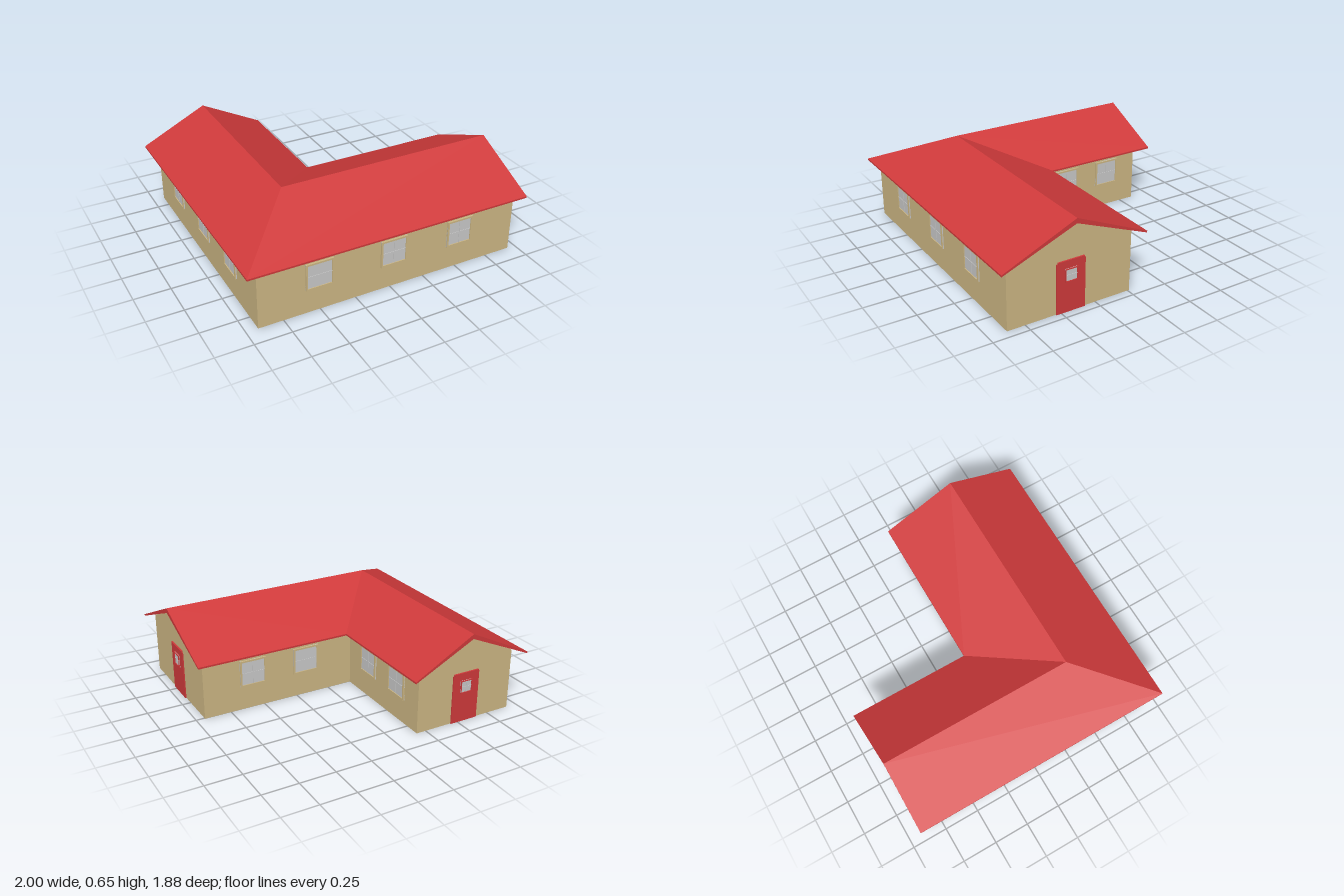
import * as THREE from 'three';

const mat = (name, color) => {
  const m = new THREE.MeshStandardMaterial({ color });
  m.name = name;
  return m;
};

export function createModel() {
  const house = new THREE.Group();
  house.name = 'house';
  const wallMat = mat('sand wall', 0xcdb784);
  const redMat = mat('red', 0xd03a3b);
  const glassMat = mat('pale grey glass', 0xcacaca);

  const add = (parent, name, geo, material, x = 0, y = 0, z = 0) => {
    const m = new THREE.Mesh(geo, material);
    m.name = name;
    m.position.set(x, y, z);
    parent.add(m);
    return m;
  };
  const box = (parent, name, w, h, d, material, x, y, z) =>
    add(parent, name, new THREE.BoxGeometry(w, h, d), material, x, y, z);
  const shape = (pts) => new THREE.Shape(pts.map(([x, y]) => new THREE.Vector2(x, y)));

  // L-shaped walls, drawn in plan (x, -z) and raised
  const plan = shape([[-0.92, -0.875], [0.94, -0.875], [0.94, 0.01], [-0.18, 0.01], [-0.18, 0.86], [-0.92, 0.86]]);
  const walls = new THREE.ExtrudeGeometry(plan, { depth: 0.43, bevelEnabled: false });
  walls.rotateX(-Math.PI / 2);
  add(house, 'walls', walls, wallMat);

  // Gable triangles over the two end walls
  const gable = (pts) => new THREE.ExtrudeGeometry(shape(pts), { depth: 0.02, bevelEnabled: false });
  const sideGable = gable([[-0.875, 0.43], [0.01, 0.43], [0.01, 0.438], [-0.43, 0.613]]);
  sideGable.rotateY(Math.PI / 2);
  add(house, 'sideGable', sideGable, wallMat, 0.92, 0, 0);
  add(house, 'backGable', gable([[-0.92, 0.43], [-0.18, 0.43], [-0.18, 0.438], [-0.54, 0.613]]), wallMat, 0, 0, -0.86);

  // Roof slab: eaves corners, ridge ends and the point where the ridges meet
  const corners = [
    [-1, 0.935], [1, 0.935], [1, 0.43, 1], [0.995, -0.09], [-0.1, -0.09],
    [-0.1, -0.94], [-0.54, -0.925, 1], [-1, -0.925], [-0.54, 0.43, 1],
  ];
  const top = corners.map(([x, z, ridge]) => [x, ridge ? 0.65 : 0.424, z]);
  const under = corners.map(([x, z, ridge]) => [x, ridge ? 0.616 : 0.412, z]);
  const verts = [];
  const quad = (a, b, c, d) => verts.push(...a, ...b, ...c, ...a, ...c, ...d);
  for (const [a, b, c, d] of [[0, 1, 2, 8], [2, 3, 4, 8], [8, 4, 5, 6], [0, 8, 6, 7]]) {
    quad(top[a], top[b], top[c], top[d]);
    quad(under[d], under[c], under[b], under[a]);
  }
  for (let i = 0; i < 8; i++) {
    const j = (i + 1) % 8;
    quad(under[i], under[j], top[j], top[i]);
  }
  const roof = new THREE.BufferGeometry();
  roof.setAttribute('position', new THREE.Float32BufferAttribute(verts, 3));
  roof.computeVertexNormals();
  add(house, 'roof', roof, redMat);

  // Framed pane with a cross bar, facing +z
  const glazing = (parent, w, h, t, frameMat, y, z) => {
    box(parent, 'glass', w, h, 0.006, glassMat, 0, y, z + 0.003);
    for (const s of [-1, 1]) {
      box(parent, 'frameSide', t, h, 0.012, frameMat, s * (w - t) / 2, y, z + 0.006);
      box(parent, 'frameRail', w - 2 * t, t, 0.012, frameMat, 0, y + s * (h - t) / 2, z + 0.006);
    }
    box(parent, 'uprightBar', t / 2, h - 2 * t, 0.009, glassMat, 0, y, z + 0.0045);
    box(parent, 'crossBar', w - 2 * t, t / 2, 0.009, glassMat, 0, y, z + 0.0045);
  };
  const place = (name, x, z, turn) => {
    const g = new THREE.Group();
    g.name = name;
    g.position.set(x, 0, z);
    g.rotation.y = turn;
    house.add(g);
    return g;
  };
  const addWindow = (x, z, turn) =>
    glazing(place('window', x, z, turn), 0.19, 0.19, 0.012, wallMat, 0.265, 0);
  const addDoor = (x, z, turn) => {
    const g = place('door', x, z, turn);
    box(g, 'doorPanel', 0.205, 0.345, 0.008, redMat, 0, 0.1725, 0.004);
    box(g, 'doorLintel', 0.19, 0.012, 0.011, redMat, 0, 0.351, 0.0055);
    glazing(g, 0.09, 0.09, 0.006, redMat, 0.257, 0.005);
  };

  // Windows on each long wall
  const q = Math.PI / 2;
  for (const x of [-0.505, 0.02, 0.515]) addWindow(x, 0.875, 0);
  for (const z of [-0.455, 0.02, 0.475]) addWindow(-0.92, z, -q);
  for (const x of [0.18, 0.58]) addWindow(x, -0.01, Math.PI);
  for (const z of [-0.263, -0.61]) addWindow(-0.18, z, q);

  // A door in each gable end
  addDoor(0.94, 0.433, q);
  addDoor(-0.55, -0.86, Math.PI);
  return house;
}
